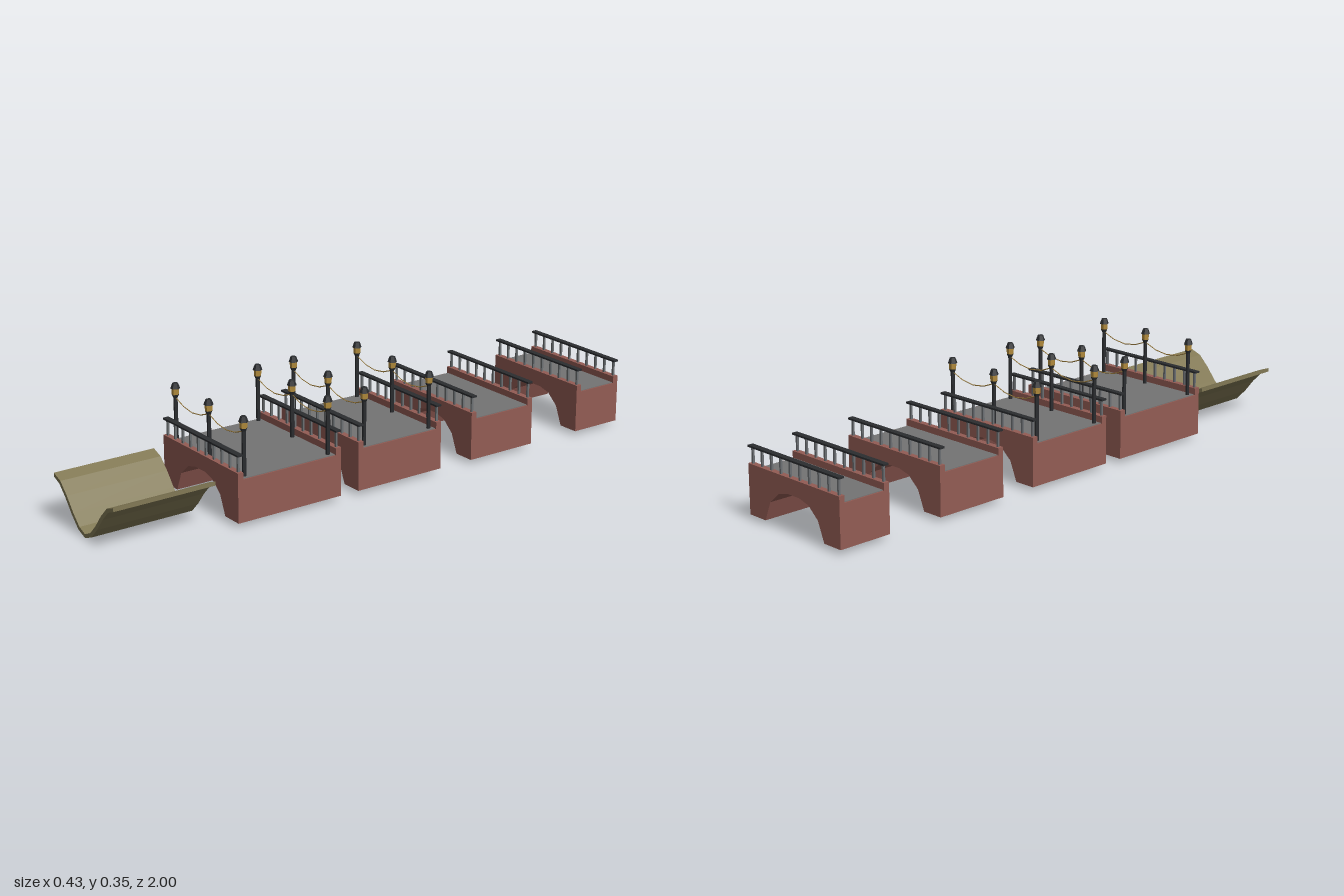
import * as THREE from 'three';

const mat = (color, extra = {}) => new THREE.MeshStandardMaterial({ color, flatShading: true, ...extra });
const brick = mat(0x935c54), paving = mat(0x747474), iron = mat(0x2b2d30);
const steel = mat(0x6c7073), glass = mat(0xb78f3e), rope = mat(0x94763a), earth = mat(0x827955);

const HALF_W = 0.215, BASE = 0.015, DECK = 0.158, WALL_TOP = 0.18, WALL_D = 0.02;
const LAMP_X = [-0.195, 0, 0.195];

function add(parent, name, geometry, material, x = 0, y = 0, z = 0) {
  const mesh = new THREE.Mesh(geometry, material);
  mesh.name = name;
  mesh.position.set(x, y, z);
  parent.add(mesh);
  return mesh;
}

// Outline in x/y extruded along z and centred on z = 0
function prism(points, depth) {
  const shape = new THREE.Shape(points.map(([x, y]) => new THREE.Vector2(x, y)));
  return new THREE.ExtrudeGeometry(shape, { depth, bevelEnabled: false }).translate(0, 0, -depth / 2);
}

// Six-sided tapered drum between two heights, corners on the x axis
function hex(rBottom, rTop, y0, y1) {
  return new THREE.CylinderGeometry(rTop, rBottom, y1 - y0, 6)
    .rotateY(Math.PI / 6).translate(0, (y0 + y1) / 2, 0);
}

function makeLamp(x, z) {
  const lamp = new THREE.Group();
  lamp.name = 'lamp';
  add(lamp, 'lampPost', hex(0.0068, 0.0068, DECK - 0.003, 0.306), iron);
  add(lamp, 'lanternCup', hex(0.0075, 0.012, 0.305, 0.315), iron);
  add(lamp, 'lanternGlass', hex(0.0115, 0.0128, 0.315, 0.335), glass);
  add(lamp, 'lanternCap', hex(0.016, 0.0095, 0.335, 0.353), iron);
  lamp.position.set(x, 0, z);
  return lamp;
}

// Rope hung between two neighbouring lamps
function makeGarland(x0, x1, z) {
  const path = new THREE.CurvePath();
  const points = [0, 0.25, 0.5, 0.75, 1].map(t => new THREE.Vector3(
    THREE.MathUtils.lerp(x0, x1, t), 0.305 - 0.025 * 4 * t * (1 - t), z));
  for (let i = 0; i < 4; i++) path.add(new THREE.LineCurve3(points[i], points[i + 1]));
  const mesh = new THREE.Mesh(new THREE.TubeGeometry(path, 8, 0.0018, 4), rope);
  mesh.name = 'garland';
  return mesh;
}

function makeBridge(length, centreZ, hasLamps) {
  const bridge = new THREE.Group();
  bridge.name = 'bridge';

  // Arched brick body
  const arch = [[0.14, BASE], [0.113, 0.08], [0.07, 0.117], [0.027, 0.128]];
  const mirrored = arch.map(([x, y]) => [-x, y]).reverse();
  add(bridge, 'archBody', prism([
    [-HALF_W, DECK - 0.002], ...[[-HALF_W, BASE]], ...mirrored.slice().reverse(),
    ...arch.slice().reverse(), [HALF_W, BASE], [HALF_W, DECK - 0.002],
  ], length), brick);
  add(bridge, 'deck', new THREE.BoxGeometry(0.42, 0.004, length - 2 * WALL_D), paving, 0, DECK - 0.002, 0);

  for (const side of [-1, 1]) {
    // Parapet with balusters and handrail
    const z = side * (length - WALL_D) / 2;
    const h = WALL_TOP - DECK + 0.002;
    add(bridge, 'parapet', new THREE.BoxGeometry(2 * HALF_W, h, WALL_D), brick, 0, WALL_TOP - h / 2, z);
    for (let i = 0; i < 10; i++) {
      add(bridge, 'baluster', new THREE.BoxGeometry(0.007, 0.054, 0.007), steel, (i - 4.5) * 0.045, 0.206, z);
    }
    add(bridge, 'handrail', new THREE.BoxGeometry(2 * HALF_W, 0.006, 0.02), iron, 0, 0.235, z);

    // Lamps joined by garlands
    if (hasLamps) {
      const lampZ = side * (length / 2 - 0.037);
      LAMP_X.forEach(x => bridge.add(makeLamp(x, lampZ)));
      for (let i = 0; i < 2; i++) bridge.add(makeGarland(LAMP_X[i], LAMP_X[i + 1], lampZ));
    }
  }
  bridge.position.z = centreZ;
  return bridge;
}

// Curved channel of even thickness following a cosine
function makeChannel(length, centreZ) {
  const half = 0.18, thick = 0.0065, upper = [], lower = [];
  for (let i = -5; i <= 5; i++) {
    const x = i * half / 5, a = Math.PI * x / half;
    const y = 0.0785 - 0.072 * Math.cos(a);
    const n = new THREE.Vector2(-0.072 * Math.PI / half * Math.sin(a), 1).setLength(thick);
    upper.push([x + n.x, y + n.y]);
    lower.push([x - n.x, y - n.y]);
  }
  const mesh = new THREE.Mesh(prism([...lower, ...upper.reverse()], length), earth);
  mesh.name = 'channelBed';
  mesh.position.z = centreZ;
  return mesh;
}

export function createModel() {
  const model = new THREE.Group();
  model.name = 'bridgeSet';
  model.add(makeChannel(0.36, 0.82));
  [[0.39, 0.387, true], [0.336, -0.045, true], [0.264, -0.475, false], [0.19, -0.905, false]]
    .forEach(([length, z, lamps]) => model.add(makeBridge(length, z, lamps)));
  return model;
}
